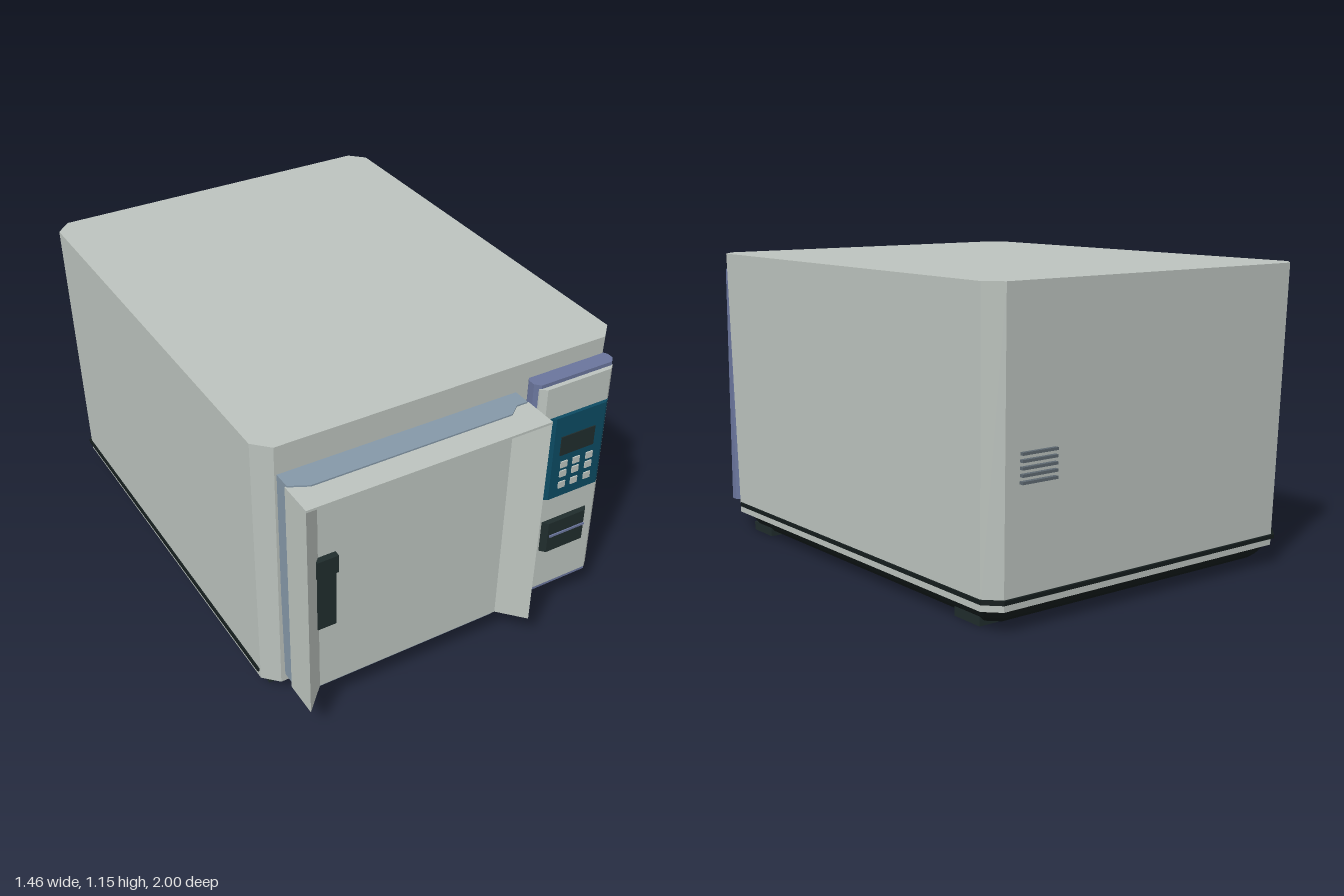
import * as THREE from 'three';

const mat = (name, color) => {
  const m = new THREE.MeshStandardMaterial({ color });
  m.name = name;
  return m;
};

// Rectangle with cut corners at height y, counter-clockwise from above
function ring(y, x0, x1, z0, z1, front, back = front) {
  return [
    [x1 - front, y, z1], [x1, y, z1 - front], [x1, y, z0 + back], [x1 - back, y, z0],
    [x0 + back, y, z0], [x0, y, z0 + back], [x0, y, z1 - front], [x0 + front, y, z1],
  ];
}

// Flat-sided solid through a stack of rings, lowest first
function loft(rings) {
  const v = [];
  const n = rings[0].length, top = rings[rings.length - 1], low = rings[0];
  const tri = (a, b, c) => v.push(...a, ...b, ...c);
  for (let r = 0; r + 1 < rings.length; r++) {
    for (let i = 0; i < n; i++) {
      const j = (i + 1) % n, a = rings[r], b = rings[r + 1];
      tri(a[i], a[j], b[j]);
      tri(a[i], b[j], b[i]);
    }
  }
  for (let i = 1; i + 1 < n; i++) {
    tri(top[0], top[i], top[i + 1]);
    tri(low[0], low[i + 1], low[i]);
  }
  const g = new THREE.BufferGeometry();
  g.setAttribute('position', new THREE.Float32BufferAttribute(v, 3));
  g.computeVertexNormals();
  return g;
}

// Upright prism from an [x, z] outline; its foot narrows about centre cx
function prism(outline, y0, y1, foot = 1, cx = 0) {
  const shape = new THREE.Shape(outline.map(([x, z]) => new THREE.Vector2(x, -z)));
  const g = new THREE.ExtrudeGeometry(shape, { depth: y1 - y0, bevelEnabled: false });
  g.rotateX(-Math.PI / 2).translate(0, y0, 0);
  const p = g.attributes.position;
  for (let i = 0; i < p.count; i++) {
    if (p.getY(i) < y0 + 0.001) p.setX(i, cx + (p.getX(i) - cx) * foot);
  }
  g.computeVertexNormals();
  return g;
}

function box(x0, x1, y0, y1, z0, z1) {
  return new THREE.BoxGeometry(x1 - x0, y1 - y0, z1 - z0)
    .translate((x0 + x1) / 2, (y0 + y1) / 2, (z0 + z1) / 2);
}

// Plate whose vertical sides are bevelled toward the front
const bevelPlate = (x0, x1, y0, y1, z0, z1, bevel) => prism([
  [x0, z0], [x0, z0 + (z1 - z0) * 0.3], [x0 + bevel, z1],
  [x1 - bevel, z1], [x1, z0 + (z1 - z0) * 0.3], [x1, z0],
], y0, y1);

export function createModel() {
  const model = new THREE.Group();
  model.name = 'microwaveOven';
  const grey = mat('casing grey', 0xbcc3be);
  const slate = mat('door slab blue', 0x8598a8);
  const blue = mat('trim blue', 0x6a759c);
  const teal = mat('keypad teal', 0x0c4a62);
  const dark = mat('dark plastic', 0x202c2c);
  const black = mat('base black', 0x141c1c);
  const vent = mat('vent grey', 0x5d6870);
  const add = (name, geometry, material, parent = model) => {
    const m = new THREE.Mesh(geometry, material);
    m.name = name;
    parent.add(m);
    return m;
  };
  const group = (name) => {
    const g = new THREE.Group();
    g.name = name;
    model.add(g);
    return g;
  };

  // Casing, seam strip, tapered base and feet
  add('casing', loft([
    ring(0.078, -0.708, 0.708, -0.97, 0.775, 0.055),
    ring(1.155, -0.728, 0.728, -1, 0.8, 0.058),
  ]), grey);
  add('seamStrip', loft([
    ring(0.105, -0.716, 0.716, -0.982, 0.712, 0.004, 0.056),
    ring(0.12, -0.716, 0.716, -0.982, 0.712, 0.004, 0.056),
  ]), black);
  add('base', loft([
    ring(0.02, -0.645, 0.645, -0.9, 0.67, 0.04),
    ring(0.04, -0.665, 0.665, -0.925, 0.695, 0.045),
    ring(0.079, -0.69, 0.69, -0.955, 0.72, 0.05),
  ]), black);
  for (const s of [-1, 1]) {
    for (const z of [0.62, -0.78]) {
      add('foot', box(-0.085, 0.085, 0, 0.035, -0.07, 0.07).translate(s * 0.575, 0, z), dark);
    }
  }

  // Door: backing slab, recessed panel between flared edges, top cover
  const door = group('door');
  const cx = -0.185;
  add('doorSlab', prism([
    [-0.66, 0.785], [-0.66, 0.865], [-0.59, 0.9], [0.2, 0.9],
    [0.245, 0.865], [0.29, 0.865], [0.29, 0.785],
  ], 0.122, 1.042, 0.96, cx), slate, door);
  add('doorPanel', prism([
    [-0.665, 0.86], [-0.665, 1], [-0.573, 0.905], [0.205, 0.905], [0.295, 1], [0.295, 0.86],
  ], 0.13, 1.03, 0.98, cx), grey, door);
  add('doorCover', box(-0.665, 0.297, 1.027, 1.036, 0.86, 1), grey, door);
  add('handleGrip', box(-0.582, -0.51, 0.425, 0.68, 0.9, 0.925), dark, door);
  add('handleCap', box(-0.588, -0.503, 0.66, 0.733, 0.9, 0.93), dark, door);
  add('doorLatch', box(0.285, 0.314, 0.44, 0.72, 0.885, 0.92), blue, door);

  // Control column: bevelled frame with a grey face
  const panel = group('controlPanel');
  add('panelFrame', prism([
    [0.355, 0.78], [0.332, 0.81], [0.332, 0.84], [0.352, 0.86],
    [0.663, 0.86], [0.682, 0.84], [0.682, 0.81], [0.66, 0.78],
  ], 0.11, 1.085), blue, panel);
  add('panelFace', bevelPlate(0.345, 0.668, 0.142, 1.07, 0.852, 0.878, 0.022), grey, panel);

  // Keypad with display and nine buttons
  add('keypad', bevelPlate(0.392, 0.65, 0.577, 0.94, 0.872, 0.892, 0.018), teal, panel);
  add('display', box(0.44, 0.592, 0.77, 0.852, 0.89, 0.896), dark, panel);
  for (const x of [0.464, 0.52, 0.58]) {
    for (const y of [0.725, 0.683, 0.632]) {
      add('button', box(x - 0.015, x + 0.015, y - 0.014, y + 0.014, 0.89, 0.897), grey, panel);
    }
  }

  // Door release below the keypad
  add('releaseButton', bevelPlate(0.405, 0.61, 0.326, 0.463, 0.872, 0.9, 0.018), dark, panel);
  add('releaseLine', box(0.43, 0.592, 0.396, 0.405, 0.898, 0.905), blue, panel);

  // Rear vent slats
  for (let i = 0; i < 5; i++) {
    const y = 0.5 + i * 0.024;
    add('ventSlat', box(0.45, 0.6, y, y + 0.01, -0.999, -0.975), vent);
  }
  return model;
}
